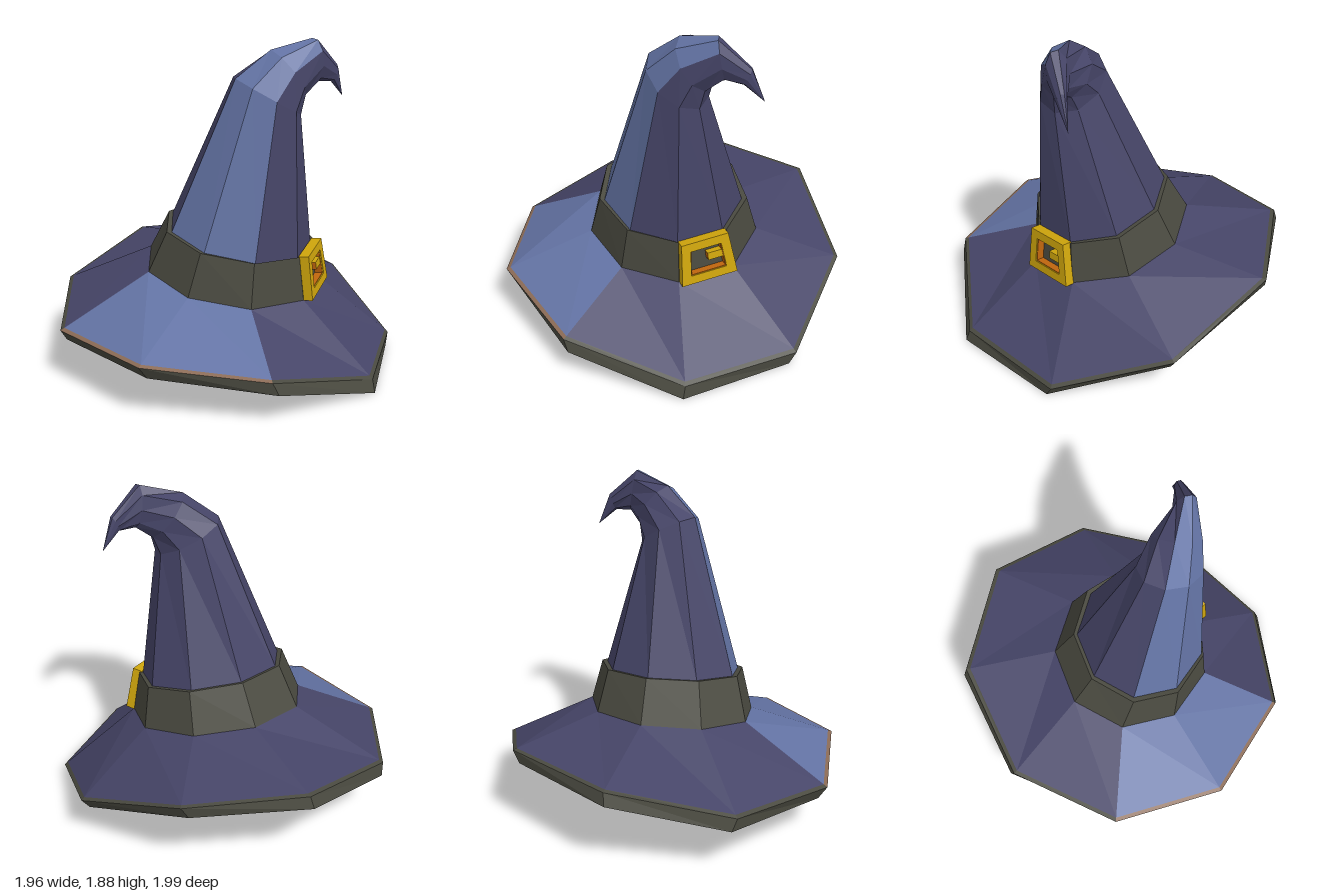
import * as THREE from 'three';

const N = 9; // sides of every ring
const mat = (name, color) => {
  const m = new THREE.MeshStandardMaterial({ color, flatShading: true });
  m.name = name;
  return m;
};
const V = (x, y, z) => new THREE.Vector3(x, y, z);

// Tilted elliptical ring: centre + u cos + v sin, starting at +x and turning towards +z
function ring(c, u, v, heights) {
  return Array.from({ length: N }, (_, k) => {
    const a = (k / N) * Math.PI * 2, co = Math.cos(a), si = Math.sin(a);
    const p = [0, 1, 2].map(i => c[i] + u[i] * co + v[i] * si);
    return V(p[0], heights ? heights[k] : p[1], p[2]);
  });
}

// Skin between successive rings, keeping only the chosen sides
function loft(rings, keep = () => true) {
  const pos = [];
  const tri = (...ps) => ps.forEach(p => pos.push(p.x, p.y, p.z));
  for (let i = 0; i + 1 < rings.length; i++) {
    for (let k = 0; k < N; k++) {
      if (!keep(k)) continue;
      const j = (k + 1) % N;
      const a = rings[i][k], b = rings[i][j], c = rings[i + 1][j], d = rings[i + 1][k];
      tri(a, d, c);
      tri(a, c, b);
    }
  }
  const g = new THREE.BufferGeometry();
  g.setAttribute('position', new THREE.Float32BufferAttribute(pos, 3));
  g.computeVertexNormals();
  return g;
}

export function createModel() {
  const darkBlue = mat('darkBlue', 0x464568);
  const lightBlue = mat('lightBlue', 0x6373a4);
  const olive = mat('darkOlive', 0x4a4a40);
  const brown = mat('brown', 0x8a6a55);
  const gold = mat('gold', 0xd0a60c);
  const orange = mat('orange', 0xc4680e);
  const grey = mat('grey', 0x888888);

  const hat = new THREE.Group();
  hat.name = 'hat';
  const add = (name, geometry, material, parent = hat) => {
    const m = new THREE.Mesh(geometry, material);
    m.name = name;
    parent.add(m);
    return m;
  };
  const pale = k => k === 3 || k === 4; // sides in the lighter cloth
  const rest = k => !pale(k);

  // Wavy brim: heights of the nine corners
  const wave = [0.30, 0.075, 0.08, 0.25, 0.31, 0.31, 0.38, 0.53, 0.53];
  const rimTop = ring([-0.03, 0, 0], [1.01, 0, 0], [0, 0, 0.985], wave);
  const rimLow = ring([-0.03, 0, 0], [0.96, 0, 0], [0, 0, 1.01], wave.map(y => y - 0.07));
  const bandLow = ring([-0.02, 0.54, 0.05], [0.50, -0.005, 0.04], [0, -0.10, 0.48]);
  const bandTop = ring([-0.015, 0.78, 0.10], [0.435, -0.01, 0.03], [0, -0.09, 0.40]);
  const coneBase = ring([-0.015, 0.775, 0.105], [0.405, -0.01, 0.03], [0, -0.09, 0.385]);
  const lip = rimTop.map((p, k) => p.clone().lerp(bandLow[k], 0.045));

  add('brimTop', loft([lip, bandLow], rest), darkBlue);
  add('brimTopPale', loft([lip, bandLow], pale), lightBlue);
  add('brimLip', loft([rimTop, lip], rest), olive);
  add('brimLipPale', loft([rimTop, lip], pale), brown);
  add('brimEdge', loft([rimLow, rimTop]), olive);

  // Underside and hollow inside
  const hole = ring([-0.02, 0.34, 0.05], [0.47, 0, 0.03], [0, -0.06, 0.45]);
  const innerTop = ring([-0.015, 0.70, 0.09], [0.37, -0.01, 0.03], [0, -0.09, 0.35]);
  const crown = Array(N).fill(V(-0.015, 0.72, 0.09));
  add('brimUnderside', loft([hole, rimLow]), olive);
  add('lining', loft([crown, innerTop, hole]), grey);

  // Band around the cone
  add('band', loft([bandLow, bandTop, coneBase]), olive);

  // Bent cone ending in a curled tip
  const cone = [
    coneBase,
    ring([0.03, 1.575, 0.265], [0.17, -0.085, 0.02], [0, -0.06, 0.19]),
    ring([0.127, 1.70, 0.325], [0.095, -0.115, 0], [-0.02, -0.05, 0.135]),
    ring([0.27, 1.763, 0.405], [0.02, -0.122, -0.01], [0, -0.01, 0.063]),
  ];
  const curl = [
    cone[3],
    ring([0.405, 1.68, 0.425], [-0.02, -0.047, 0], [0, 0, 0.03]),
    Array(N).fill(V(0.495, 1.54, 0.42)),
  ];
  add('cone', loft(cone, rest), darkBlue);
  add('conePale', loft(cone, pale), lightBlue);
  add('tip', loft(curl), darkBlue);

  // Buckle, set on the band side between corners 2 and 1
  const buckle = new THREE.Group();
  buckle.name = 'buckle';
  const low = bandLow[1].clone().add(bandLow[2]).multiplyScalar(0.5);
  const top = bandTop[1].clone().add(bandTop[2]).multiplyScalar(0.5);
  const X = bandLow[1].clone().sub(bandLow[2]).normalize();
  const Z = X.clone().cross(top.clone().sub(low)).normalize();
  const Y = Z.clone().cross(X);
  buckle.quaternion.setFromRotationMatrix(new THREE.Matrix4().makeBasis(X, Y, Z));
  buckle.position.copy(low).add(top).multiplyScalar(0.5);
  hat.add(buckle);

  // Tapered plate outline and frame with a tapered opening
  const outline = (wLow, wTop, h) => [[-wLow, -h], [wLow, -h], [wTop, h], [-wTop, h]]
    .map(([x, y]) => new THREE.Vector2(x, y));
  const frame = (outer, inner, depth) => {
    const s = new THREE.Shape(outline(...outer));
    s.holes.push(new THREE.Path(outline(...inner)));
    return new THREE.ExtrudeGeometry(s, { depth, bevelEnabled: false });
  };
  add('buckleFrame', frame([0.165, 0.138, 0.128], [0.105, 0.09, 0.076], 0.06), gold, buckle).position.z = -0.008;
  add('buckleInnerWalls', frame([0.105, 0.09, 0.076], [0.101, 0.086, 0.072], 0.045), orange, buckle);
  const prong = add('buckleProng', new THREE.BoxGeometry(0.09, 0.045, 0.04),
    [gold, orange, gold, gold, gold, gold], buckle);
  prong.position.set(0.052, 0.01, 0.022);

  return hat;
}
